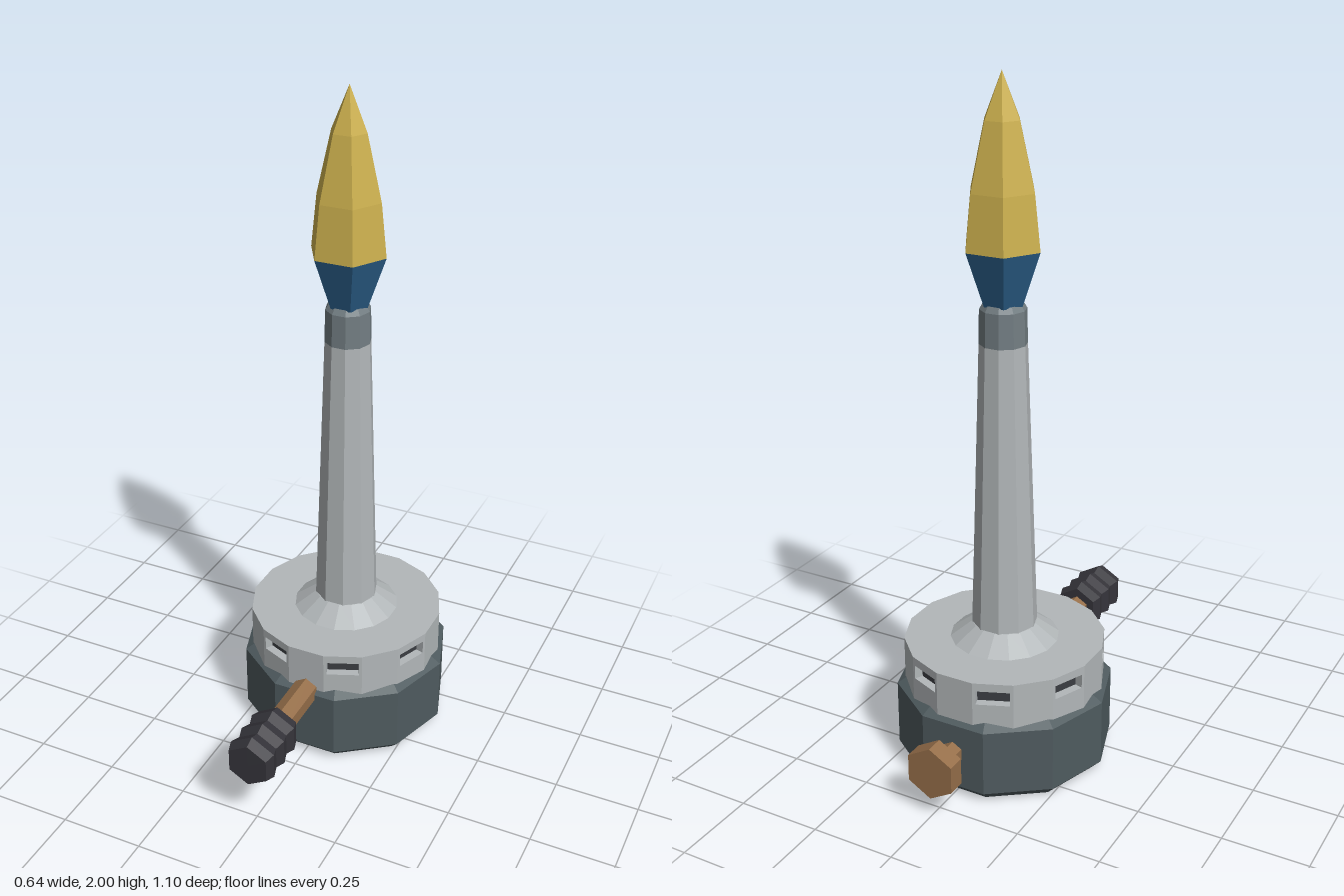
import * as THREE from 'three';

const mat = (name, color) => {
  const m = new THREE.MeshStandardMaterial({ color, flatShading: true });
  m.name = name;
  return m;
};

export function createModel() {
  const steel = mat('light steel', 0xb2b7b9);
  const darkSteel = mat('dark steel', 0x737e83);
  const iron = mat('cast iron', 0x4f5b5f);
  const slotDark = mat('slot shadow', 0x3a3d41);
  const brass = mat('brass', 0x966f4a);
  const rubber = mat('black rubber', 0x36353b);
  const blue = mat('blue flame', 0x2b5f8a);
  const yellow = mat('yellow flame', 0xccb04e);

  const model = new THREE.Group();
  const burner = new THREE.Group(); // axis of the barrel
  burner.name = 'burner';
  burner.position.z = -0.12;
  model.add(burner);

  // faceted solid of revolution; profile runs bottom to top as [radius, height]
  const turned = (profile, sides, phi) =>
    new THREE.LatheGeometry(profile.map(p => new THREE.Vector2(...p)), sides, phi)
      .toNonIndexed();
  const add = (parent, name, geometry, material) => {
    geometry.computeVertexNormals();
    const mesh = new THREE.Mesh(geometry, material);
    mesh.name = name;
    parent.add(mesh);
    return mesh;
  };
  const upright = (name, profile, sides, phi, material) =>
    add(burner, name, turned(profile, sides, phi), material);
  // hexagonal bar along z; profile is [radius, z]
  const bar = (name, profile, y, material) => {
    const g = turned(profile, 6, 0).rotateX(Math.PI / 2);
    add(model, name, g, material).position.y = y;
  };

  const DECA = Math.PI / 10, HEX = Math.PI / 6, SIXTEEN = Math.PI / 16;

  // ten-sided foot
  upright('base', [[0, 0], [0.29, 0], [0.32, 0.03], [0.32, 0.228], [0.28, 0.255], [0, 0.255]],
    10, DECA, iron);

  // sixteen-sided air collar with eight slots
  const flat = 0.29, R = flat / Math.cos(SIXTEEN), low = 0.305, high = 0.347;
  upright('collarLower', [[0, 0.2], [R, 0.2], [R, low], [0, low]], 16, SIXTEEN, steel);
  upright('collarCore', [[0.27, low], [0.27, high]], 16, SIXTEEN, slotDark);
  upright('collarUpper', [[0, high], [R, high], [R, 0.372], [0, 0.372]], 16, SIXTEEN, steel);
  const hx = R * Math.sin(SIXTEEN), margin = 0.009;
  const ox = hx + margin * Math.cos(2 * SIXTEEN), oy = flat - margin * Math.sin(2 * SIXTEEN);
  const section = new THREE.Shape([
    [-0.054, 0.25], [0.054, 0.25], [ox, oy], [hx, flat], [-hx, flat], [-ox, oy],
  ].map(p => new THREE.Vector2(...p)));
  for (let i = 0; i < 8; i++) {
    const g = new THREE.ExtrudeGeometry(section, { depth: high - low, bevelEnabled: false });
    g.rotateX(-Math.PI / 2).rotateY(i * Math.PI / 4).translate(0, low, 0);
    add(burner, 'collarPillar', g, steel);
  }

  // barrel and its mouth
  upright('barrelCone', [[0.16, 0.372], [0.095, 0.42], [0, 0.42]], 16, SIXTEEN, steel);
  upright('barrel', [[0.096, 0.415], [0.068, 1.27]], 10, DECA, steel);
  upright('barrelMouth', [[0.068, 1.27], [0.066, 1.368], [0.056, 1.385], [0, 1.385]],
    10, DECA, darkSteel);

  // six-sided flame
  upright('flameRoot', [[0, 1.38], [0.06, 1.38], [0.114, 1.535]], 6, HEX, blue);
  upright('flame', [[0.114, 1.535], [0.097, 1.69], [0.053, 1.875], [0, 2]], 6, HEX, yellow);

  // gas inlet with ribbed hose end
  bar('gasInlet', [[0, 0.1], [0.04, 0.1], [0.04, 0.37], [0, 0.37]], 0.23, brass);
  const ribs = [[0, 0.357]];
  for (let i = 0; i <= 6; i++) ribs.push([i % 2 ? 0.079 : 0.068, 0.357 + i * 0.0318]);
  ribs.push([0, 0.548]);
  bar('hoseEnd', ribs, 0.23, rubber);

  // needle valve at the back
  bar('valveStem', [[0, -0.51], [0.033, -0.51], [0.033, -0.38], [0, -0.38]], 0.14, brass);
  bar('valveKnob', [[0, -0.548], [0.08, -0.548], [0.08, -0.494], [0, -0.494]], 0.14, brass);

  return model;
}
